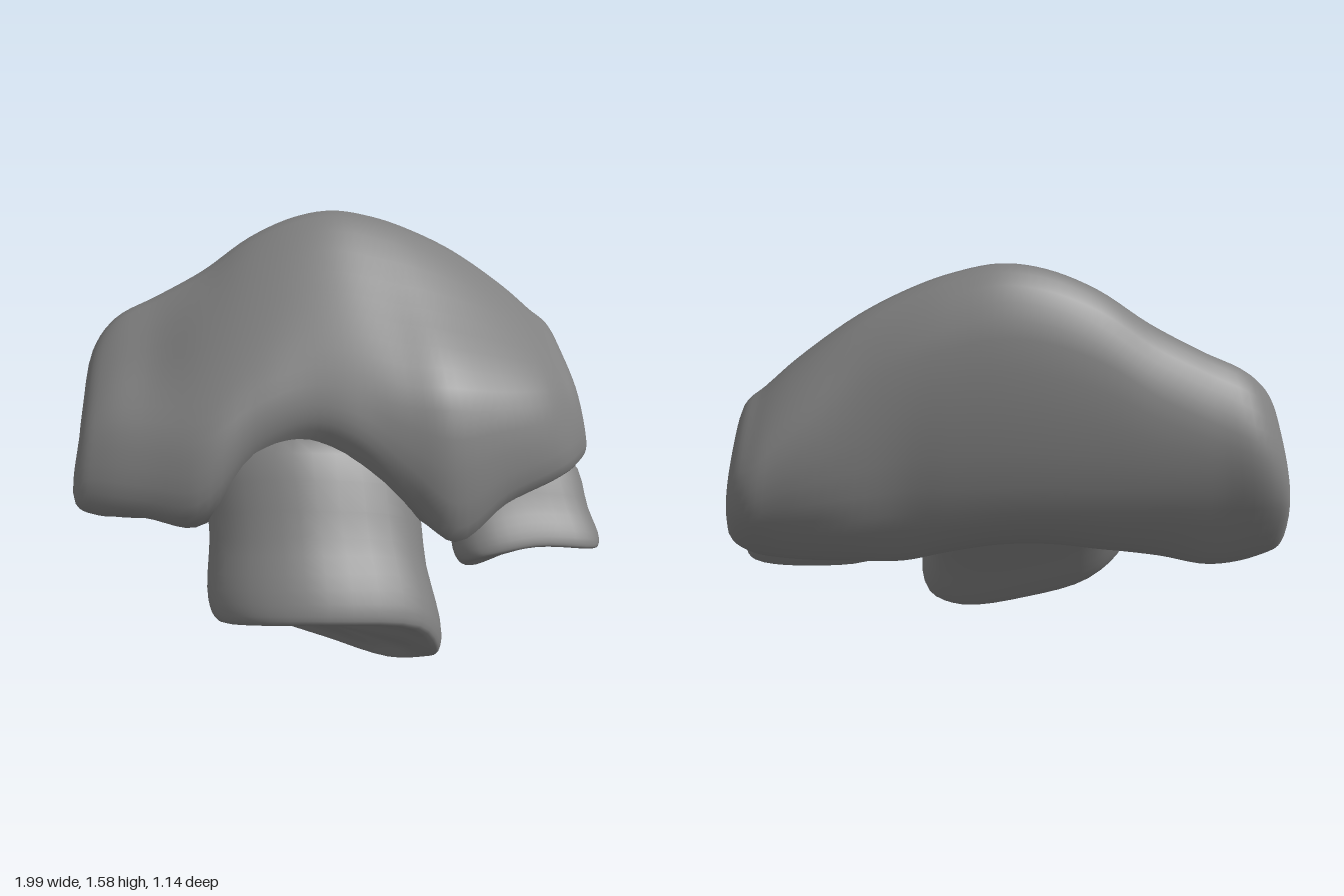
import * as THREE from 'three';
import { mergeVertices } from 'three/addons/utils/BufferGeometryUtils.js';

const V = (x, y, z) => new THREE.Vector3(x, y, z);
const centreOf = ring => ring.reduce((sum, p) => sum.add(p), V(0, 0, 0)).divideScalar(ring.length);
const shrink = (ring, k, shift = V(0, 0, 0)) => {
  const c = centreOf(ring);
  return ring.map(p => p.clone().sub(c).multiplyScalar(k).add(c).add(shift));
};

// Smooth closed skin through a row of rings; rings turn right-handed about the direction of travel
function loft(rings, around, along) {
  const loops = rings.map(r => {
    const curve = new THREE.CatmullRomCurve3(r, true);
    return Array.from({ length: around }, (_, j) => curve.getPoint(j / around));
  });
  const pos = [], index = [];
  const steps = (rings.length - 1) * along;
  const columns = Array.from({ length: around }, (_, j) =>
    new THREE.CatmullRomCurve3(loops.map(l => l[j]), false));
  for (let i = 0; i <= steps; i++)
    for (let j = 0; j < around; j++) pos.push(...columns[j].getPoint(i / steps).toArray());
  for (let i = 0; i < steps; i++)
    for (let j = 0; j < around; j++) {
      const a = i * around + j, b = i * around + (j + 1) % around;
      const c = a + around, d = b + around;
      // the rings at both ends are points, so leave out the empty triangles there
      if (i > 0) index.push(a, b, c);
      if (i < steps - 1) index.push(b, d, c);
    }
  const geo = new THREE.BufferGeometry();
  geo.setAttribute('position', new THREE.Float32BufferAttribute(pos, 3));
  geo.setIndex(index);
  const merged = mergeVertices(geo, 1e-5);
  merged.computeVertexNormals();
  return merged;
}

// Leaning slab: x, top y, front face z and y, front lip z and y, underside y, back hem y
const SLAB = [
  [-0.91, 1.20, 0.02, 0.90, 0.09, 0.66, 0.50, 0.46],
  [-0.74, 1.28, 0.11, 0.92, 0.17, 0.66, 0.53, 0.43],
  [-0.55, 1.37, 0.20, 0.93, 0.23, 0.66, 0.50, 0.47],
  [-0.35, 1.49, 0.17, 1.04, 0.19, 0.87, 0.58, 0.50],
  [-0.15, 1.56, 0.16, 1.10, 0.20, 0.95, 0.60, 0.53],
  [0.03, 1.58, 0.20, 1.09, 0.26, 0.90, 0.58, 0.53],
  [0.22, 1.55, 0.26, 1.04, 0.30, 0.70, 0.54, 0.50],
  [0.38, 1.50, 0.28, 1.03, 0.32, 0.53, 0.51, 0.47],
  [0.58, 1.41, 0.24, 1.00, 0.26, 0.64, 0.60, 0.48],
  [0.80, 1.26, 0.15, 0.97, 0.18, 0.69, 0.63, 0.50],
  [0.91, 1.16, 0.05, 0.95, 0.09, 0.70, 0.63, 0.53],
];

function slabGeometry() {
  const rings = SLAB.map(([x, top, fz, fy, lz, ly, under, hem]) => {
    const bulge = x < -0.6 ? 0 : 0.03;
    return [
      V(x, top, -0.38),
      V(x, (top + fy) / 2 + bulge, (fz - 0.38) / 2 + bulge),
      V(x, fy, fz),
      V(x, ly, lz),
      V(x, under, lz - 0.22),
      V(x, hem, -0.26),
      V(x, 0.76, x > 0.5 ? -0.52 : -0.49),
      V(x, top - 0.2, x > 0.7 ? -0.55 : -0.52),
    ];
  });
  // rounded ends
  const first = rings[0], last = rings[rings.length - 1];
  rings.unshift(shrink(first, 0, V(-0.09, -0.02, 0)), shrink(first, 0.78, V(-0.08, -0.03, 0)));
  rings.push(shrink(last, 0.8, V(0.065, 0, -0.01)), shrink(last, 0, V(0.075, 0, 0)));
  // the slab narrows towards the top
  rings.forEach(r => r.forEach(p => { p.x *= 1 - 0.2 * Math.max(0, p.y - 0.6); }));
  return loft(rings, 40, 5);
}

// Stub: an end ring swept back into the slab, closed by a shallow dish
function stubGeometry(end, back, taper, dish) {
  const root = shrink(end, taper, back);
  const middle = end.map((p, i) => p.clone().lerp(root[i], 0.45));
  const neck = end.map((p, i) => p.clone().lerp(root[i], 0.1));
  return loft([
    shrink(root, 0), root, middle, neck,
    shrink(end, 0.92), shrink(end, 0.65, dish.clone().multiplyScalar(0.6)), shrink(end, 0, dish),
  ], 40, 4);
}

export function createModel() {
  const group = new THREE.Group();
  const grey = new THREE.MeshStandardMaterial({ color: 0x808080 });
  grey.name = 'stone grey';
  const add = (name, geo) => {
    const mesh = new THREE.Mesh(geo, grey);
    mesh.name = name;
    group.add(mesh);
  };

  add('slab', slabGeometry());

  add('centreStub', stubGeometry([
    V(-0.12, 0.40, 0.59), V(-0.38, 0.38, 0.52), V(-0.52, 0.31, 0.37), V(-0.50, 0.25, 0.21),
    V(-0.36, 0.16, 0.12), V(-0.10, 0.06, 0.15), V(0.18, -0.02, 0.23), V(0.31, 0.01, 0.29),
    V(0.33, 0.12, 0.42), V(0.23, 0.31, 0.53),
  ], V(-0.02, 0.55, -0.37), 0.83, V(0, 0.03, -0.02)));

  add('sideStub', stubGeometry([
    V(0.70, 0.45, 0.26), V(0.49, 0.42, 0.26), V(0.42, 0.36, 0.19), V(0.48, 0.29, 0.10),
    V(0.75, 0.31, 0.00), V(0.96, 0.34, 0.00), V(1.00, 0.35, 0.11), V(0.96, 0.40, 0.22),
  ], V(-0.06, 0.28, -0.20), 0.92, V(0, 0.01, -0.01)));

  return group;
}
